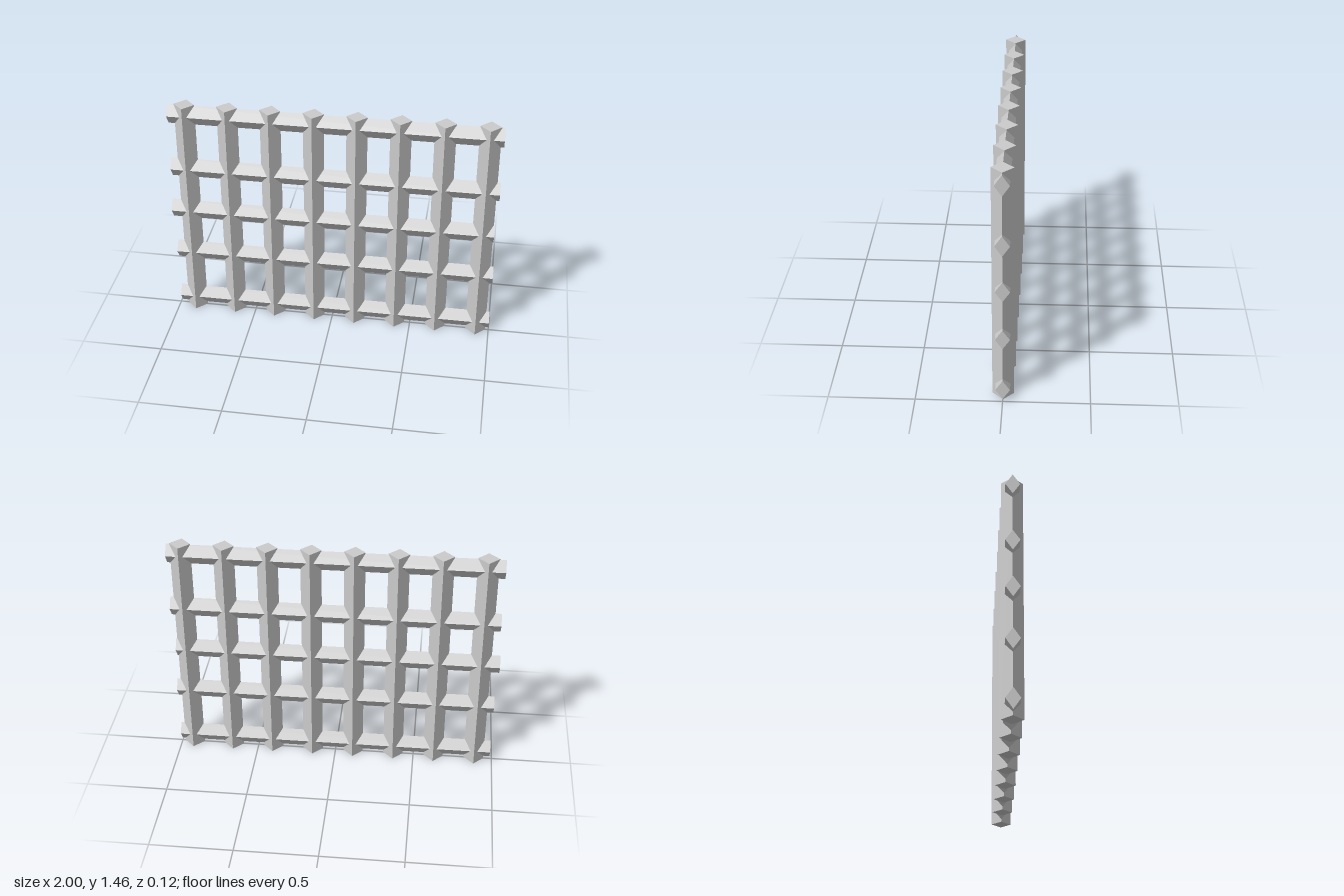
import * as THREE from 'three';

export function createModel() {
  const model = new THREE.Group();
  model.name = 'lattice';
  const material = new THREE.MeshStandardMaterial({ color: 0xcccccc, flatShading: true });

  // Upright bar of diamond section
  const barGeometry = (halfWidth, length, halfDepth) =>
    new THREE.CylinderGeometry(1, 1, 1, 4).scale(halfWidth, length, halfDepth);

  const addBar = (name, geometry, x, y) => {
    const bar = new THREE.Mesh(geometry, material);
    bar.name = name;
    bar.position.set(x, y, 0);
    model.add(bar);
  };

  // Eight evenly spaced vertical bars
  const height = 1.457;
  const vertical = barGeometry(0.0625, height, 0.0625);
  for (let i = 0; i < 8; i++) {
    addBar(`verticalBar${i + 1}`, vertical, -0.885 + i * 0.2575, height / 2);
  }

  // Five thinner horizontal bars, the middle one shifted slightly sideways
  const horizontal = barGeometry(0.0625, 1.986, 0.042).rotateZ(Math.PI / 2);
  [0.081, 0.426, 0.73, 1.027, 1.39].forEach((y, i) => {
    addBar(`horizontalBar${i + 1}`, horizontal, i === 2 ? -0.007 : 0.007, y);
  });

  return model;
}
